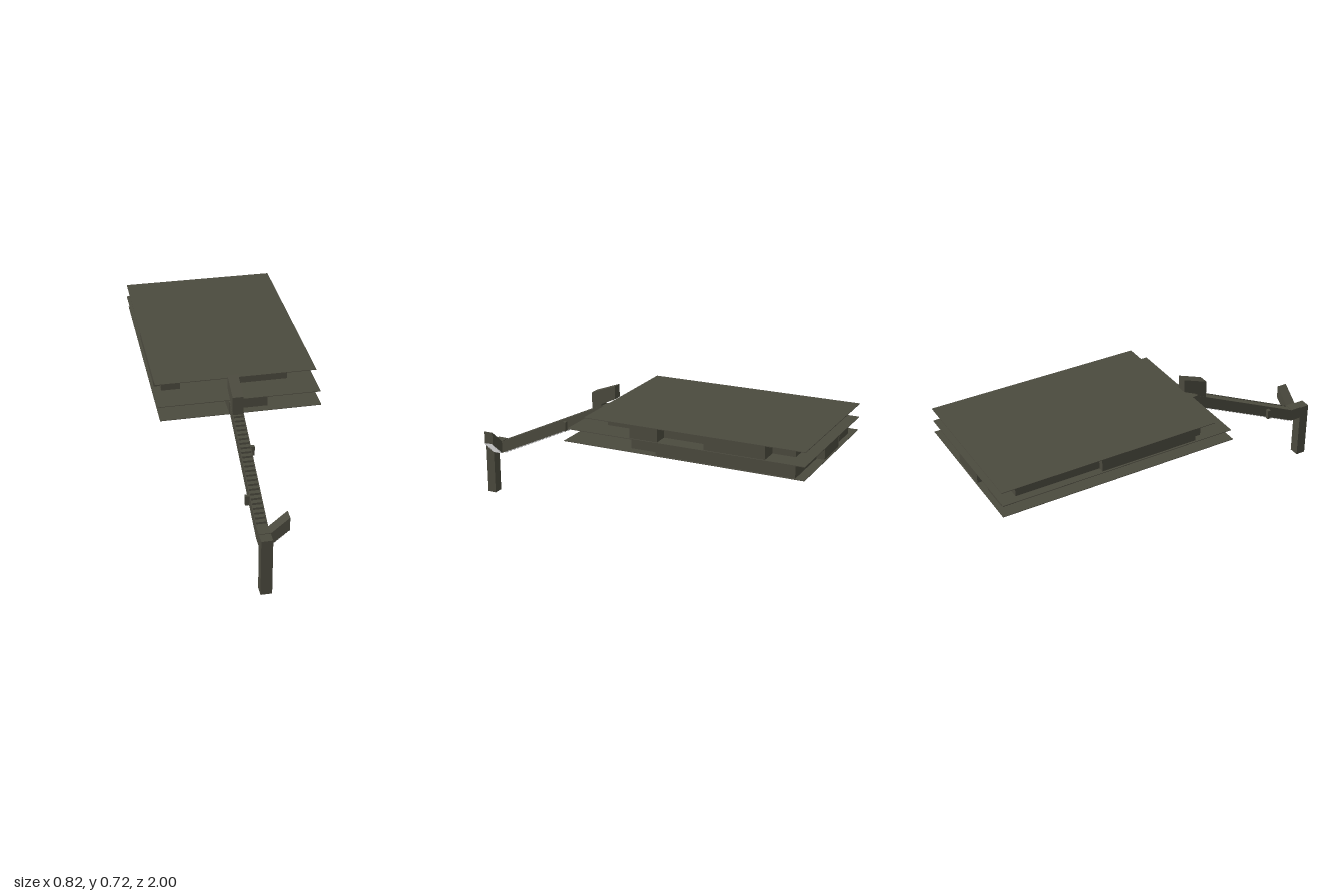
import * as THREE from 'three';

export function createModel() {
  const model = new THREE.Group();
  const olive = new THREE.MeshStandardMaterial({ color: 0x4b4a3e, side: THREE.DoubleSide });
  olive.name = 'dark olive';
  const grey = new THREE.MeshStandardMaterial({ color: 0xd6d6d6, side: THREE.DoubleSide });
  grey.name = 'light grey';

  const add = (geometry, name, material = olive, parent = model) => {
    const mesh = new THREE.Mesh(geometry, material);
    mesh.name = name;
    parent.add(mesh);
    return mesh;
  };
  const box = (name, x0, x1, y0, y1, z0, z1, material, parent) => {
    const mesh = add(new THREE.BoxGeometry(x1 - x0, y1 - y0, z1 - z0), name, material, parent);
    mesh.position.set((x0 + x1) / 2, (y0 + y1) / 2, (z0 + z1) / 2);
    return mesh;
  };
  const extrude = (pts, depth) => new THREE.ExtrudeGeometry(
    new THREE.Shape(pts.map(p => new THREE.Vector2(p[0], p[1]))), { depth, bevelEnabled: false });
  // Profile given in (z, y), extruded from x0 to x1
  const sideProfile = (name, pts, x0, x1, material) => {
    const mesh = add(extrude(pts, x1 - x0), name, material);
    mesh.rotation.y = -Math.PI / 2;
    mesh.position.x = x1;
    return mesh;
  };
  // Sawtooth stair section from a to b, with a given thickness
  const stairs = (a, b, n, thick) => {
    const top = [], bottom = [];
    const du = (b[0] - a[0]) / n, dv = (b[1] - a[1]) / n;
    for (let i = 0; i < n; i++) {
      const u = a[0] + i * du, v = a[1] + i * dv;
      top.push([u, v + dv], [u + du, v + dv]);
      bottom.push([u, v + dv - thick], [u + du, v + dv - thick]);
    }
    return [...top, ...bottom.reverse()];
  };

  // Floor and roof slabs
  const T = 0.003;
  box('roofSlab', -0.41, 0.41, 0.677, 0.68, -1, 0.14);
  box('middleSlab', -0.413, 0.41, 0.606, 0.606 + T, -1, 0.235);
  box('bottomSlab', -0.405, 0.41, 0.54, 0.54 + T, -1, 0.255);

  // Room walls, each listed as x0, z0, x1, z1
  const storey = (name, y0, y1, list) => {
    const group = new THREE.Group();
    group.name = name;
    model.add(group);
    const h = 0.003;
    list.forEach(([x0, z0, x1, z1]) => box('wall', x0 - h, x1 + h, y0, y1, z0 - h, z1 + h, olive, group));
  };
  storey('lowerWalls', 0.54, 0.606, [
    [0, 0.21, 0.14, 0.21], [0.08, 0.12, 0.08, 0.21], [0.14, -0.1, 0.14, 0.21],
    [-0.055, -0.05, -0.055, 0.25], [0, 0.1, 0, 0.25], [-0.18, -0.05, -0.055, -0.05],
    [-0.32, -0.1, -0.24, -0.1], [-0.32, -0.9, -0.32, -0.1], [-0.18, -0.3, -0.18, -0.05],
    [0.14, -0.1, 0.36, -0.1], [0.36, -0.25, 0.36, -0.1], [0.36, -0.25, 0.4, -0.25],
    [0.4, -0.95, 0.4, -0.25], [0.1, -0.95, 0.4, -0.95], [0.1, -0.99, 0.1, -0.95],
    [-0.1, -0.99, 0.1, -0.99], [-0.1, -0.99, -0.1, -0.9], [-0.18, -0.9, -0.1, -0.9],
    [-0.18, -0.97, -0.18, -0.9], [-0.32, -0.97, -0.18, -0.97], [-0.32, -0.97, -0.32, -0.9],
    [-0.32, -0.5, 0.4, -0.5], [0.05, -0.95, 0.05, -0.5],
  ]);
  storey('upperWalls', 0.608, 0.678, [
    [-0.37, 0.077, -0.28, 0.077], [-0.02, 0.077, 0.27, 0.077], [-0.28, 0, -0.28, 0.077],
    [-0.28, 0, -0.02, 0], [-0.02, 0, -0.02, 0.077], [0.27, -0.11, 0.27, 0.077],
    [0.27, -0.11, 0.4, -0.11], [0.4, -0.25, 0.4, -0.11], [0.32, -0.25, 0.4, -0.25],
    [0.32, -0.5, 0.32, -0.25], [0.32, -0.5, 0.4, -0.5], [0.4, -0.8, 0.4, -0.5],
    [0.3, -0.8, 0.4, -0.8], [0.3, -0.915, 0.3, -0.8], [0.1, -0.915, 0.3, -0.915],
    [0.1, -0.915, 0.1, -0.84], [-0.28, -0.84, 0.1, -0.84], [-0.28, -0.915, -0.28, -0.84],
    [-0.37, -0.915, -0.28, -0.915], [-0.37, -0.915, -0.37, -0.48], [-0.4, -0.48, -0.37, -0.48],
    [-0.4, -0.48, -0.4, 0.03], [-0.4, 0.03, -0.37, 0.03], [-0.37, 0.03, -0.37, 0.077],
    [-0.37, -0.4, 0.32, -0.4],
  ]);

  // Stair between the two storeys
  sideProfile('innerStair', stairs([0.02, 0.542], [-0.12, 0.606], 8, 0.012), -0.235, -0.185, grey);

  // Pits hanging under the bottom slab
  box('pit', 0.015, 0.065, 0.493, 0.54, -0.31, -0.262, grey);
  box('pit', -0.327, -0.276, 0.493, 0.54, -0.634, -0.585, grey);

  // Upright shaft and landing
  const XL = -0.056, XR = 0;
  box('shaft', XL, XR, 0, 0.312, 0.947, 1);
  box('landing', XL, XR, 0.247, 0.315, 0.89, 0.947);

  // Long sloping stair passage: side walls, roof, steps on top and under
  const low = 0.89, high = 0.262;
  const slope = [[low, 0.247], [low, 0.313], [high, 0.606], [high, 0.541]];
  sideProfile('passageSide', slope, XL, XL + 0.003);
  sideProfile('passageSide', slope, XR - 0.003, XR);
  sideProfile('passageRoof', stairs([low, 0.301], [high, 0.595], 27, 0.014), XL + 0.003, XR - 0.003);
  sideProfile('passageSteps', stairs([low, 0.25], [high, 0.545], 27, 0.011), XL + 0.003, XR - 0.003, grey);
  box('passageEnd', XL, XR, 0.541, 0.606, 0.2, high);

  // Rising hood at the top of the passage
  sideProfile('upperHood', [[0.32, 0.56], [0.32, 0.672], [0.185, 0.722], [0.185, 0.652], [0.265, 0.615], [0.265, 0.59]], XL + 0.001, XR - 0.001);

  // Short side branch climbing from the landing
  const branch = [[0, 0.245], [0.09, 0.32], [0.09, 0.39], [0, 0.313]];
  [0.892, 0.944].forEach(z => {
    add(extrude(branch, 0.003), 'branchSide').position.z = z;
  });
  add(extrude([[0, 0.306], [0, 0.313], [0.09, 0.39], [0.09, 0.383]], 0.05), 'branchRoof').position.z = 0.894;
  add(extrude(stairs([0, 0.247], [0.09, 0.323], 7, 0.011), 0.05), 'branchSteps', grey).position.z = 0.894;
  box('branchEnd', 0.087, 0.09, 0.322, 0.387, 0.893, 0.946);

  // Alcoves beside the passage
  box('alcove', XR, 0.02, 0.44, 0.49, 0.473, 0.491);
  box('alcove', -0.076, XL, 0.325, 0.376, 0.712, 0.73);

  return model;
}
